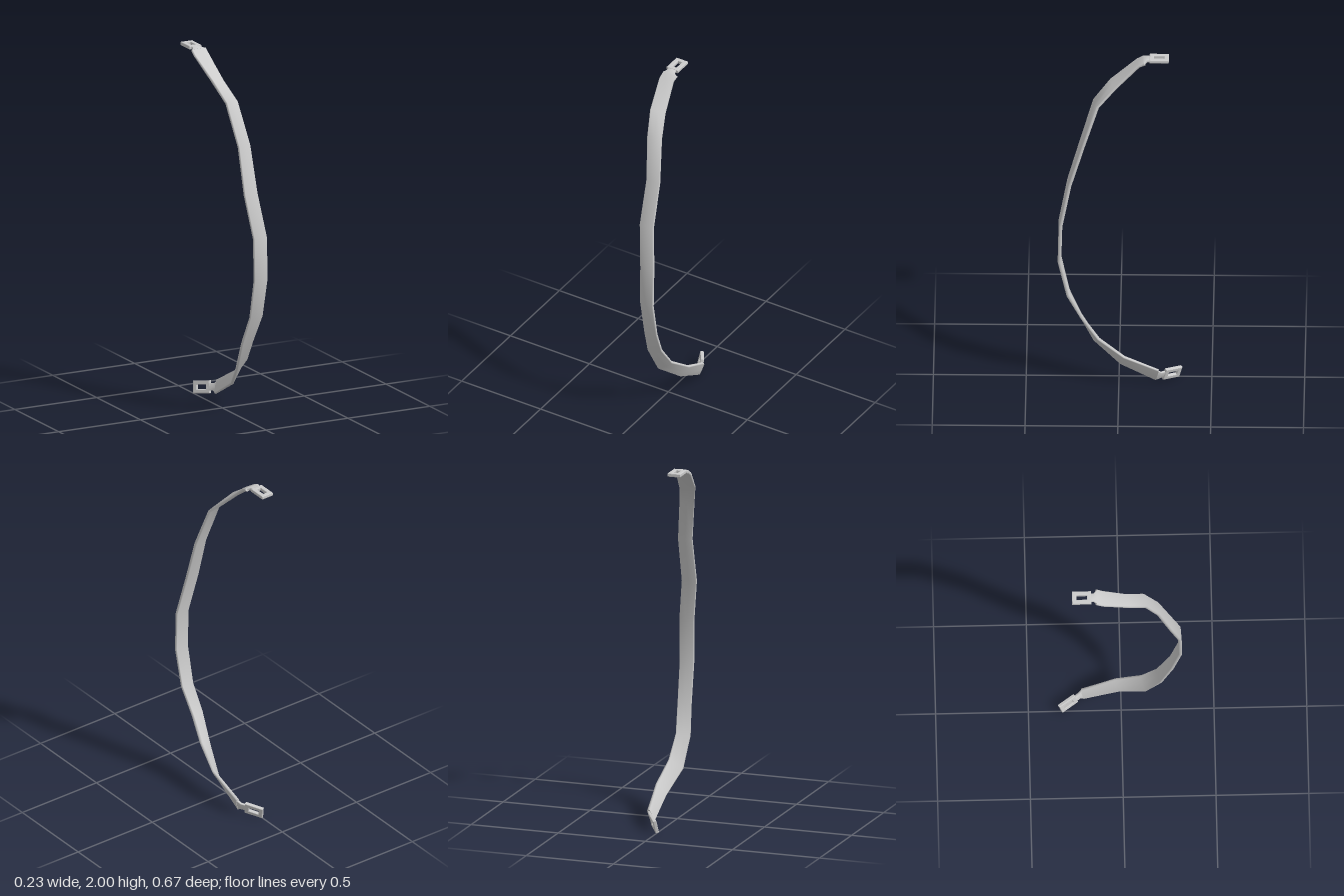
import * as THREE from 'three';

const V = (p) => new THREE.Vector3(...p);
const material = new THREE.MeshStandardMaterial({ color: 0xcccccc });

// flattened, soft-cornered band section: [across, through]
const SECTION = [[1, -0.4], [1, 0.4], [0.9, 0.9], [0, 1], [-0.9, 0.9],
  [-1, 0.4], [-1, -0.4], [-0.9, -0.9], [0, -1], [0.9, -0.9]];

// sweep the section along pairs of edge points [edgeA, edgeB]
function band(name, rows, thickness) {
  const n = SECTION.length, pos = [], idx = [];
  const pairs = rows.map(([a, b]) => [V(a), V(b)]);
  const mids = pairs.map(([a, b]) => a.clone().add(b).multiplyScalar(0.5));
  pairs.forEach(([a, b], i) => {
    const half = b.clone().sub(a).multiplyScalar(0.5);
    const along = mids[Math.min(i + 1, mids.length - 1)].clone().sub(mids[Math.max(i - 1, 0)]);
    const out = half.clone().cross(along.negate()).normalize();
    for (const [u, v] of SECTION) {
      const p = mids[i].clone().addScaledVector(half, u).addScaledVector(out, v * thickness / 2);
      pos.push(p.x, p.y, p.z);
    }
  });
  for (let i = 0; i < rows.length - 1; i++) {
    for (let j = 0; j < n; j++) {
      const a = i * n + j, b = i * n + (j + 1) % n;
      idx.push(a, b, a + n, b, b + n, a + n);
    }
  }
  // end caps on their own vertices, so the rims stay crisp
  const last = (rows.length - 1) * n;
  for (const [start, flip] of [[0, true], [last, false]]) {
    const base = pos.length / 3;
    pos.push(...pos.slice(start * 3, (start + n) * 3));
    for (let j = 1; j < n - 1; j++) {
      idx.push(base, base + (flip ? j + 1 : j), base + (flip ? j : j + 1));
    }
  }
  const geo = new THREE.BufferGeometry();
  geo.setAttribute('position', new THREE.Float32BufferAttribute(pos, 3));
  geo.setIndex(idx);
  geo.computeVertexNormals();
  const mesh = new THREE.Mesh(geo, material);
  mesh.name = name;
  return mesh;
}

function rect(target, w, h) {
  return target.moveTo(-w / 2, -h / 2).lineTo(w / 2, -h / 2)
    .lineTo(w / 2, h / 2).lineTo(-w / 2, h / 2).closePath();
}

// slotted rectangular end loop, placed by its width and length directions
function endLoop(name, center, across, along, width, length) {
  const bevel = 0.004, depth = 0.012;
  const shape = rect(new THREE.Shape(), width - 2 * bevel, length - 2 * bevel);
  shape.holes.push(rect(new THREE.Path(), 0.024 + 2 * bevel, length * 0.54 + 2 * bevel));
  const geo = new THREE.ExtrudeGeometry(shape, {
    depth, bevelEnabled: true, bevelSize: bevel, bevelThickness: bevel, bevelSegments: 2,
  });
  geo.translate(0, 0, -depth / 2);
  const l = V(along).normalize();
  const normal = V(across).cross(l).normalize();
  const w = l.clone().cross(normal);
  const mesh = new THREE.Mesh(geo, material);
  mesh.quaternion.setFromRotationMatrix(new THREE.Matrix4().makeBasis(w, l, normal));
  mesh.position.set(...center);
  mesh.name = name;
  return mesh;
}

export function createModel() {
  const group = new THREE.Group();
  group.name = 'curvedStrap';

  // long curved strap, twisting on edge towards the lower end
  group.add(band('strap', [
    [[-0.115, 1.982, -0.137], [-0.027, 1.982, -0.137]],
    [[-0.117, 1.96, -0.1], [-0.031, 1.967, -0.105]],
    [[-0.087, 1.85, 0.045], [-0.006, 1.838, 0.02]],
    [[-0.05, 1.745, 0.133], [0.03, 1.74, 0.115]],
    [[-0.012, 1.51, 0.203], [0.066, 1.51, 0.192]],
    [[-0.012, 1.26, 0.27], [0.071, 1.26, 0.265]],
    [[0.02, 1.02, 0.316], [0.103, 1.02, 0.313]],
    [[0.022, 0.79, 0.32], [0.103, 0.79, 0.32]],
    [[0.02, 0.57, 0.275], [0.098, 0.575, 0.273]],
    [[0.003, 0.41, 0.215], [0.081, 0.42, 0.196]],
    [[0.015, 0.245, 0.132], [0.09, 0.295, 0.108]],
    [[0.063, 0.125, -0.01], [0.11, 0.194, -0.03]],
    [[0.066, 0.022, -0.2], [0.088, 0.097, -0.215]],
  ], 0.02));

  // narrow necks joining the strap to its end loops
  group.add(band('upperNeck', [
    [[-0.053, 1.989, -0.18], [-0.053, 1.989, -0.18]].map((p, i) => [i ? -0.053 : -0.101, p[1], p[2]]),
    [[-0.1, 1.988, -0.15], [-0.052, 1.988, -0.15]],
    [[-0.112, 1.982, -0.134], [-0.032, 1.982, -0.134]],
  ], 0.018));
  group.add(band('lowerNeck', [
    [[0.067, 0.025, -0.197], [0.087, 0.092, -0.212]],
    [[0.062, 0.034, -0.222], [0.074, 0.074, -0.228]],
    [[0.042, 0.03, -0.25], [0.054, 0.07, -0.256]],
  ], 0.016));

  // slotted loops at both ends
  group.add(endLoop('upperLoop', [-0.077, 1.99, -0.215], [1, 0, 0], [0, 0, -1], 0.072, 0.104));
  group.add(endLoop('lowerLoop', [0.029, 0.044, -0.286], [0.2, 1, -0.14], [-0.055, -0.015, -0.085], 0.07, 0.104));
  return group;
}
